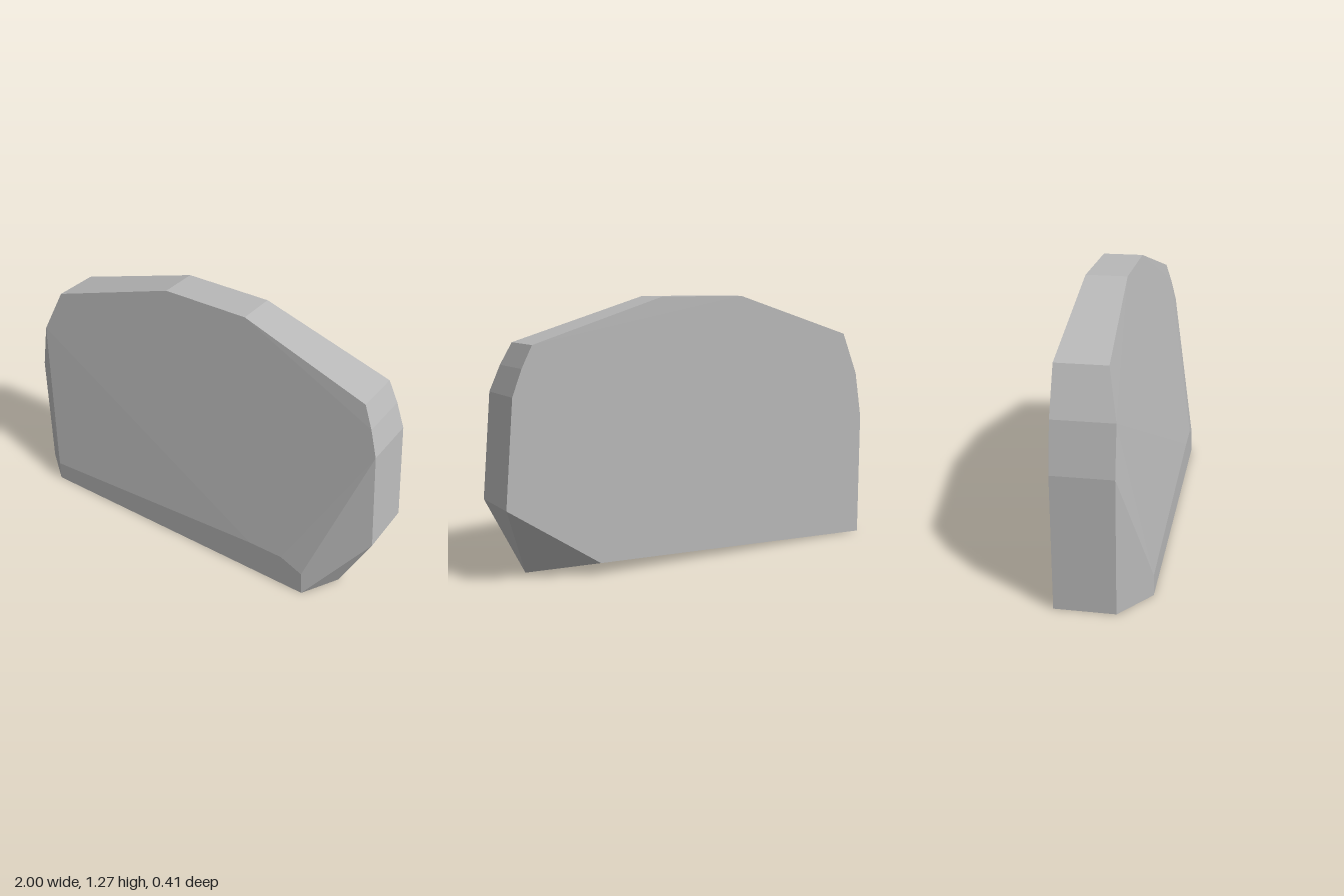
import * as THREE from 'three';
import { ConvexGeometry } from 'three/addons/geometries/ConvexGeometry.js';

const BACK = -0.205;
const FRONT = 0.205;

export function createModel() {
  const group = new THREE.Group();
  group.name = 'stoneSlab';
  const stone = new THREE.MeshStandardMaterial({ color: 0xb8b8b8 });
  stone.name = 'stone grey';

  // Outline of the slab: x, y, z of its sloping front edge
  const rim = [
    [-1, 0, 0.07], [-1, 0.63, 0.07], [-0.96, 0.86, 0.07], [-0.87, 1.07, 0.027],
    [-0.22, 1.27, -0.01], [0.22, 1.27, -0.01], [0.865, 1.07, 0.027],
    [0.915, 0.97, 0.049], [0.96, 0.85, 0.071], [1, 0.36, 0.075],
  ];
  const points = [];
  for (const [x, y, z] of rim) {
    points.push(new THREE.Vector3(x, y, z), new THREE.Vector3(x, y, BACK));
  }

  // Upright foot of the front face
  for (const [x, y] of [[-0.83, 0], [-0.83, 0.1], [0.42, 0.17], [0.6, 0.17], [0.715, 0.12], [0.725, 0]]) {
    points.push(new THREE.Vector3(x, y, FRONT));
  }

  // Chipped lower corner
  points.push(new THREE.Vector3(0.83, 0, 0.02), new THREE.Vector3(0.55, 0.06, BACK));

  const slab = new THREE.Mesh(new ConvexGeometry(points), stone);
  slab.name = 'slab';
  group.add(slab);
  return group;
}
